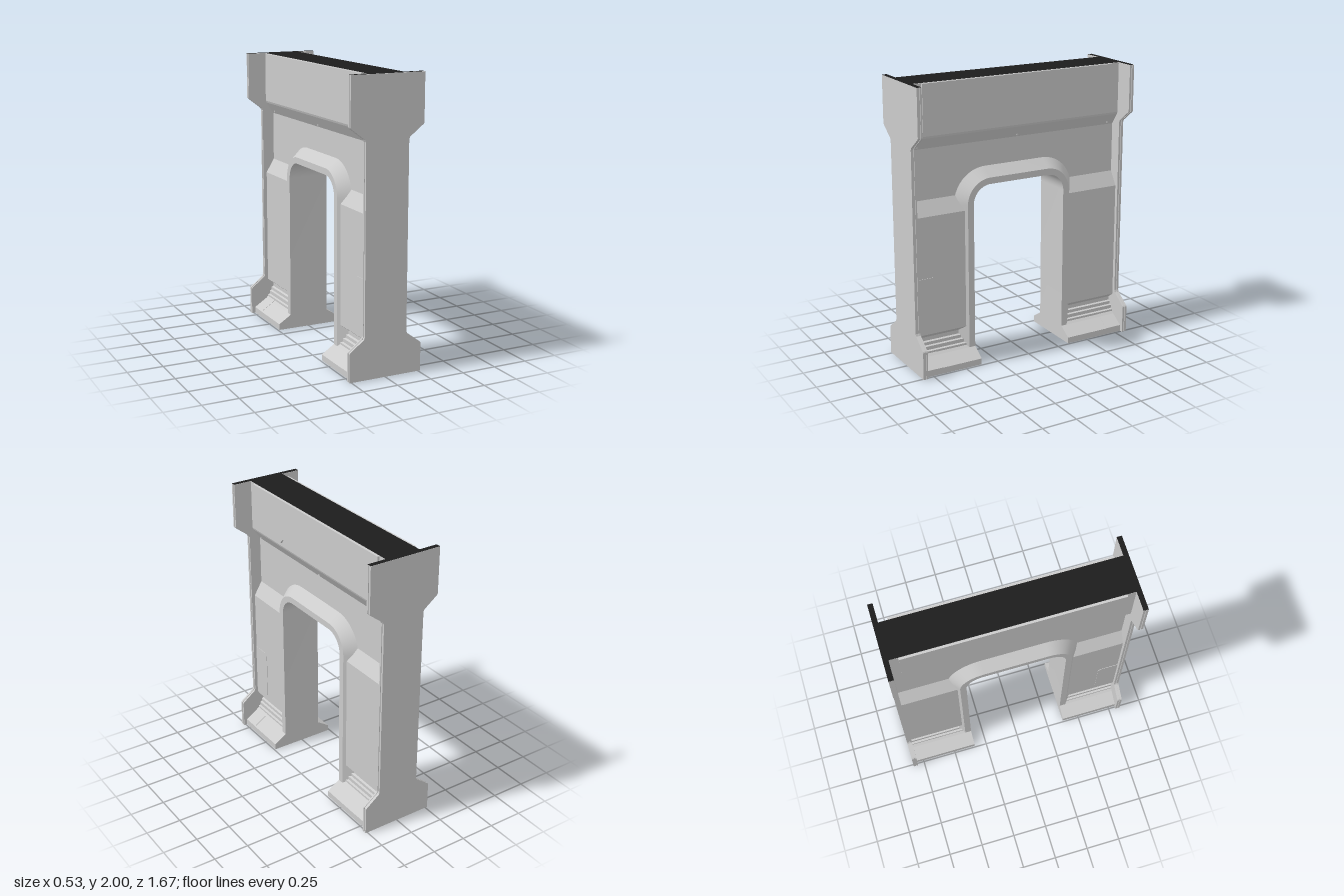
import * as THREE from 'three';
import { toCreasedNormals } from 'three/addons/utils/BufferGeometryUtils.js';

const grey = new THREE.MeshStandardMaterial({ color: 0xcccccc });
const dark = new THREE.MeshStandardMaterial({ color: 0x1c1c1c });
const LOW = 0.001, HIGH = 1.999;            // solids stop just inside the dark caps
const MID = 0.0175, HALF = 0.3575;          // opening centre and half width (z)
const ARC_Z = 0.2275, ARC_Y = 1.135, R = 0.13;

export function createModel() {
  const group = new THREE.Group();
  const add = (name, geo, mat = grey) => {
    const mesh = new THREE.Mesh(geo, mat);
    mesh.name = name;
    group.add(mesh);
    return mesh;
  };
  const toShape = pts => new THREE.Shape(pts.map(p => new THREE.Vector2(...p)));
  // Right half of an (x, y) profile, mirrored and extruded from z0 to z1
  const alongZ = (half, z0, z1) => {
    const pts = [...half, ...half.slice().reverse().map(([x, y]) => [-x, y])];
    return new THREE.ExtrudeGeometry(toShape(pts), { depth: z1 - z0, bevelEnabled: false }).translate(0, 0, z0);
  };
  // A (z, y) outline extruded through the wall to x = +-w
  const alongX = (pts, w) =>
    new THREE.ExtrudeGeometry(toShape(pts), { depth: 2 * w, bevelEnabled: false })
      .translate(0, 0, -w).rotateY(-Math.PI / 2);
  const cap = (name, w, z0, z1, y) =>
    add(name, new THREE.PlaneGeometry(2 * w, z1 - z0)
      .rotateX(y > 1 ? -Math.PI / 2 : Math.PI / 2).translate(0, y, (z0 + z1) / 2), dark);

  // Path of the opening: [z, y, outward z, outward y]
  const path = [[MID + HALF, LOW, 1, 0]];
  for (const side of [1, -1]) {
    for (let i = 0; i <= 14; i++) {
      const a = (side > 0 ? i / 14 : 1 + i / 14) * Math.PI / 2;
      const c = Math.cos(a), s = Math.sin(a);
      path.push([MID + side * ARC_Z + R * c, ARC_Y + R * s, c, s]);
    }
  }
  path.push([MID - HALF, LOW, -1, 0]);
  const offset = d => path.map(([z, y, nz, ny]) => [z + nz * d, y + ny * d]);

  // Thin wall with the arch cut out
  add('wall', alongX([[0.8, LOW], [0.8, HIGH], [-0.8, HIGH], [-0.8, LOW],
    ...offset(0.05).reverse()], 0.07));

  // Arch frame: bevelled section swept around the opening, [offset, x]
  const section = [[0, -0.148], [0, 0.148], [0.045, 0.148], [0.11, 0.07], [0.11, -0.07], [0.045, -0.148]];
  const n = section.length, pos = [], idx = [];
  for (const [z, y, nz, ny] of path)
    for (const [d, x] of section) pos.push(x, y + ny * d, z + nz * d);
  for (let i = 0; i < path.length - 1; i++)
    for (let j = 0; j < n; j++) {
      const a = i * n + j, c = i * n + (j + 1) % n;
      idx.push(a, a + n, c, c, a + n, c + n);
    }
  const frame = new THREE.BufferGeometry();
  frame.setAttribute('position', new THREE.Float32BufferAttribute(pos, 3));
  frame.setIndex(idx);
  add('archFrame', toCreasedNormals(frame, 0.4));

  // Overhanging upper band, raised panel and its bolts
  add('upperBand', alongZ([[0.07, 1.55], [0.124, 1.63], [0.13, 1.645], [0.13, HIGH]], -0.8, 0.8));
  add('upperPanel', alongX([[0.74, 1.675], [0.735, 1.67], [0.40, 1.67], [0.36, 1.71],
    [-0.735, 1.71], [-0.74, 1.715], [-0.74, 1.997], [0.74, 1.997]], 0.146));
  for (const z of [0.76, 0, -0.745])
    add('bolt', new THREE.CylinderGeometry(0.008, 0.008, 0.172, 12)
      .rotateZ(Math.PI / 2).translate(0, 1.567, z));

  // Legs: thicker lower panel with stepped plinth, and a sloping foot
  const legProfile = [[0.13, LOW], [0.13, 0.135], [0.115, 0.14], [0.115, 0.165], [0.1, 0.17],
    [0.1, 0.192], [0.085, 0.198], [0.085, 0.225], [0.13, 0.26], [0.13, 1.1], [0.07, 1.2]];
  const footProfile = lift => [[0.24, LOW], [0.24, 0.045 + lift], [0.148, 0.105 + lift], [0.13, 0.12 + lift]];
  for (const side of [1, -1]) {
    const span = (a, b) => (side > 0 ? [a, b] : [b, a]);
    const jamb = MID + side * HALF, seam = side * 0.675, end = side * 0.8;
    add('legPanel', alongZ(legProfile, ...span(jamb + side * 0.03, end)));
    add('foot', alongZ(footProfile(0), ...span(jamb, seam)));
    add('footEnd', alongZ(footProfile(0.002), ...span(seam, end)));
    cap('footBase', 0.24, ...span(jamb, end), 0);
  }

  // Small access hatch on both faces of the front leg
  add('hatch', alongX([[0.8, 0.3], [0.67, 0.3], [0.655, 0.305], [0.65, 0.32], [0.65, 0.645],
    [0.672, 0.667], [0.8, 0.667]], 0.133));

  // End plates: two slabs with a shallow groove between them
  const plate = g => [[0.265 - g, LOW], [0.265 - g, 0.197], [0.26 - g, 0.205], [0.162 - g, 0.28],
    [0.155 - g, 0.295], [0.155 - g, 1.575], [0.162 - g, 1.59], [0.26 - g, 1.665],
    [0.265 - g, 1.673], [0.265 - g, HIGH]];
  for (const side of [1, -1]) {
    for (const [inset, a, b] of [[0, 0.8, 0.812], [0.006, 0.812, 0.819], [0, 0.819, 0.835]])
      add('endPlate', alongZ(plate(inset), Math.min(side * a, side * b), Math.max(side * a, side * b)));
    const z = [side * 0.8, side * 0.835].sort((p, q) => p - q);
    cap('endPlateTop', 0.265, ...z, 2);
    cap('endPlateBase', 0.265, ...z, 0);
  }
  cap('wallTop', 0.13, -0.8, 0.8, 2);

  return group;
}
